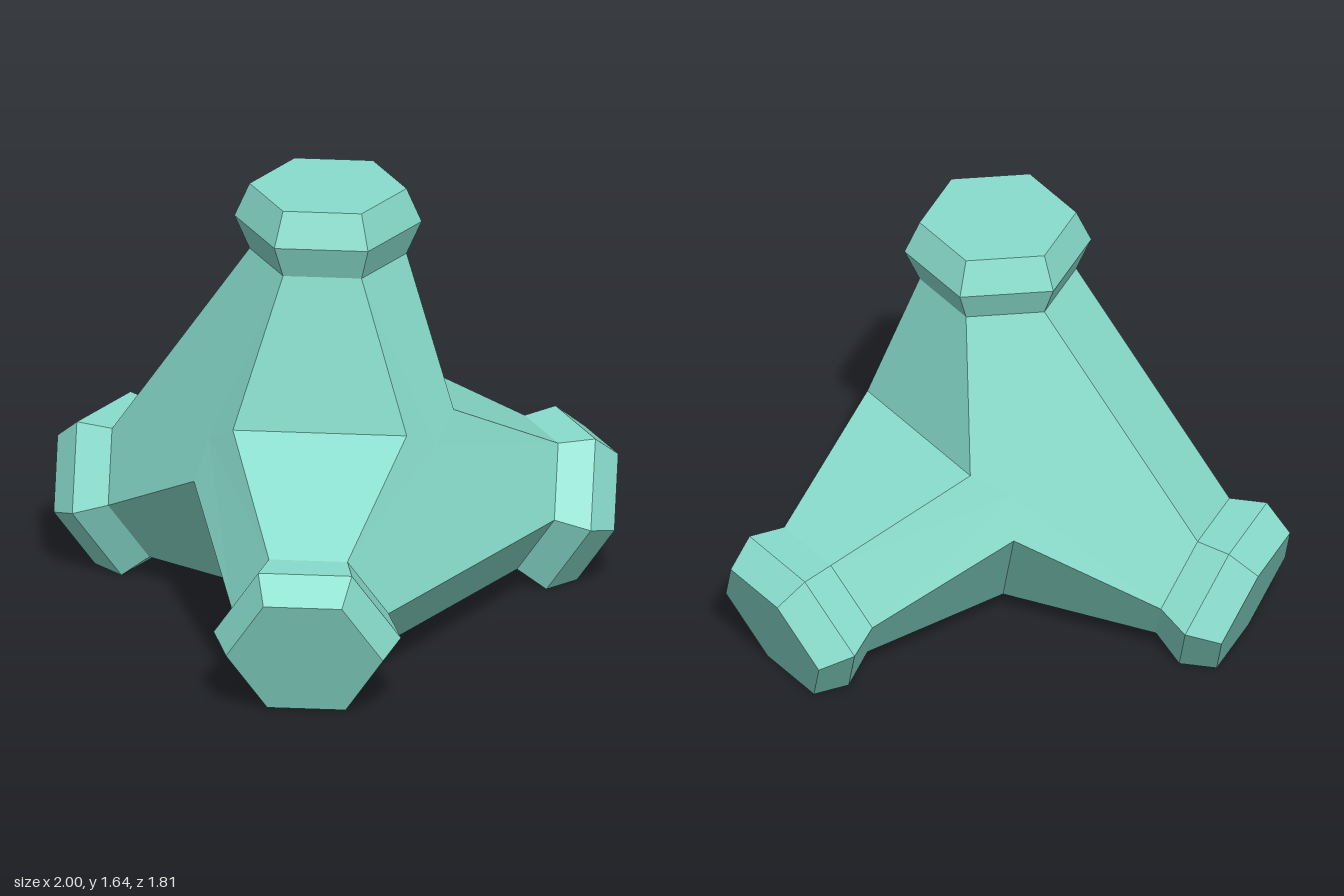
import * as THREE from 'three';

const NECK = 0.803, MID = 0.928, END = 1.053; // distances along an arm
const R = 0.28, R_MID = 0.334;                // hexagon radii
const APOTHEM = R * Math.sqrt(3) / 2;
const CREASE = 0.426, CREASE_HALF = 0.31;     // ridge between two arms
const FACE = 0.4965;                          // distance of the four flat faces

const TILT = Math.acos(-1 / 3);
const Y = new THREE.Vector3(0, 1, 0);

// Rotations of the four arms: one up, three spread below
const turns = [new THREE.Quaternion()];
for (let n = 0; n < 3; n++) {
  turns.push(new THREE.Quaternion().setFromAxisAngle(Y, n * Math.PI * 2 / 3)
    .multiply(new THREE.Quaternion().setFromAxisAngle(new THREE.Vector3(1, 0, 0), TILT)));
}
const dirs = turns.map((q) => Y.clone().applyQuaternion(q));

// Arm pairs joined by a straight web: top with back right, front with back left
const isWebbed = (i, j) => i + j === 3;

function bodyGeometry() {
  const pos = [];
  // Adds a triangle, wound so that it faces away from the centre
  const tri = (a, b, c) => {
    const normal = b.clone().sub(a).cross(c.clone().sub(a));
    const middle = a.clone().add(b).add(c);
    const order = normal.dot(middle) > 0 ? [a, b, c] : [a, c, b];
    order.forEach((p) => pos.push(p.x, p.y, p.z));
  };
  // Side direction of the facet on arm i that looks toward arm j, on arm k's side
  const side = (i, j, k) => {
    const t = dirs[i].clone().cross(dirs[j]).normalize();
    return t.multiplyScalar(Math.sign(t.dot(dirs[k])));
  };
  const neck = (i, j, k) => {
    const u = dirs[j].clone().addScaledVector(dirs[i], -dirs[j].dot(dirs[i])).normalize();
    return dirs[i].clone().multiplyScalar(NECK).addScaledVector(u, APOTHEM)
      .addScaledVector(side(i, j, k), R / 2);
  };
  // End of the ridge between two arms; on a web it lies halfway between the necks
  const crease = (i, j, k) => isWebbed(i, j)
    ? neck(i, j, k).lerp(neck(j, i, k), 0.5)
    : dirs[i].clone().add(dirs[j]).setLength(CREASE)
      .addScaledVector(side(i, j, k), CREASE_HALF);

  for (let i = 0; i < 4; i++) {
    for (let j = 0; j < 4; j++) {
      if (j === i) continue;
      const [k, l] = [0, 1, 2, 3].filter((n) => n !== i && n !== j);
      // Facet from the neck to the ridge
      tri(neck(i, j, k), neck(i, j, l), crease(i, j, l));
      tri(neck(i, j, k), crease(i, j, l), crease(i, j, k));
      // Sectors of the two flat faces on either side
      for (const [m, opposite] of [[k, l], [l, k]]) {
        const hub = dirs[opposite].clone().multiplyScalar(-FACE);
        tri(hub, neck(i, j, m), crease(i, j, m));
        if (j < m) tri(hub, neck(i, j, m), neck(i, m, j));
      }
    }
  }
  const geometry = new THREE.BufferGeometry();
  geometry.setAttribute('position', new THREE.Float32BufferAttribute(pos, 3));
  geometry.computeVertexNormals();
  return geometry;
}

export function createModel() {
  const group = new THREE.Group();
  group.name = 'tetrapod';
  const material = new THREE.MeshStandardMaterial({ color: 0x88dccc, flatShading: true });

  const body = new THREE.Mesh(bodyGeometry(), material);
  body.name = 'body';
  group.add(body);

  // Hexagonal flared end on every arm
  const profile = [[R, NECK], [R_MID, MID], [R, END], [0, END]]
    .map(([r, y]) => new THREE.Vector2(r, y));
  const endGeometry = new THREE.LatheGeometry(profile, 6, Math.PI / 6);
  ['topArmEnd', 'frontArmEnd', 'backLeftArmEnd', 'backRightArmEnd'].forEach((name, i) => {
    const end = new THREE.Mesh(endGeometry, material);
    end.name = name;
    end.quaternion.copy(turns[i]);
    group.add(end);
  });

  // Stand the arms on the ground and centre the whole
  group.children.forEach((mesh) => mesh.position.set(0, 0.583, -0.17));
  return group;
}
